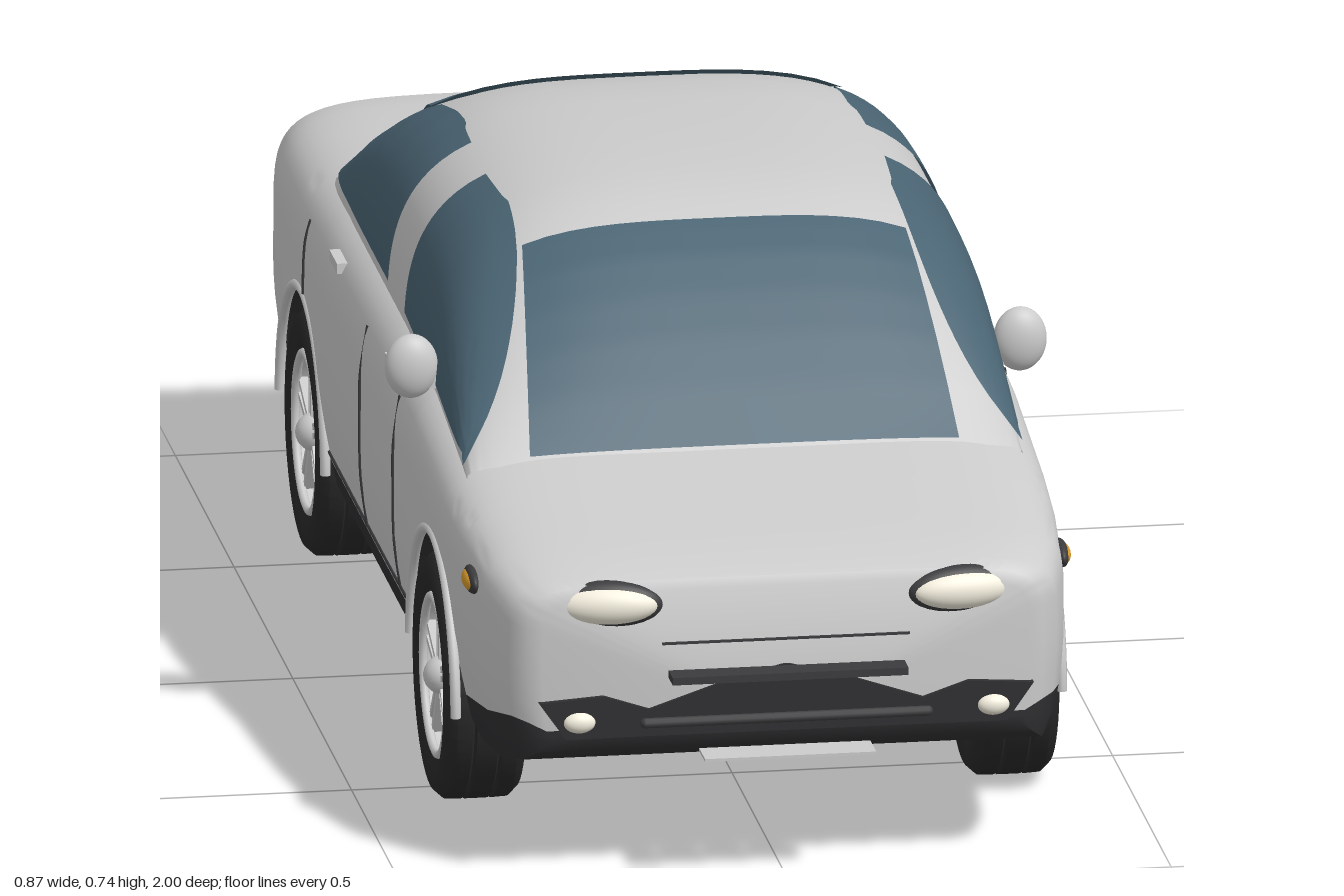
import * as THREE from 'three';
import { toCreasedNormals } from 'three/addons/utils/BufferGeometryUtils.js';

const mat = (color) => new THREE.MeshStandardMaterial({ color, side: THREE.DoubleSide });
const paint = mat(0xcccccc), trim = mat(0x303032), glass = mat(0x4a6473), rubber = mat(0x29292a);
const red = mat(0xa81c2a), amber = mat(0xdc9c2c), lens = mat(0xf5f0e0), under = mat(0x5a5a5c), dark = mat(0x3c3c3e);

const ARCHES = [0.535, -0.555], AXLE_Y = 0.163, ARCH_R = 0.19, MID = 0.3;

// Body stations: z, half width, top, bottom, height of the dark lower trim
const BODY = [
  [0.957, 0.32, 0.395, 0.195, 0.21], [0.95, 0.34, 0.407, 0.18, 0.22], [0.93, 0.36, 0.416, 0.165, 0.225],
  [0.85, 0.382, 0.432, 0.145, 0.21], [0.7, 0.396, 0.458, 0.13, 0.19], [0.6, 0.4, 0.475, 0.125, 0.185],
  [0.35, 0.405, 0.512, 0.118, 0.183], [0.1, 0.406, 0.528, 0.115, 0.183], [-0.4, 0.406, 0.528, 0.115, 0.183],
  [-0.6, 0.404, 0.52, 0.12, 0.183], [-0.8, 0.398, 0.515, 0.14, 0.19], [-0.9, 0.387, 0.508, 0.16, 0.215],
  [-0.94, 0.375, 0.495, 0.175, 0.225], [-0.96, 0.358, 0.475, 0.19, 0.23], [-0.967, 0.335, 0.45, 0.205, 0.235]];
// Cabin roofline: z, top
const ROOF = [[0.61, 0.47], [0.55, 0.538], [0.5, 0.588], [0.45, 0.632], [0.4, 0.67], [0.35, 0.7], [0.3, 0.719],
  [0.25, 0.729], [0.2, 0.734], [0.1, 0.737], [-0.1, 0.735], [-0.2, 0.726], [-0.3, 0.705], [-0.38, 0.676],
  [-0.45, 0.64], [-0.55, 0.572], [-0.62, 0.515]];

// Linear lookup in a table sorted by falling z
function sample(table, z, col) {
  for (let i = 1; i < table.length; i++) {
    const a = table[i - 1], b = table[i];
    if (z >= b[0] || i === table.length - 1) {
      const t = THREE.MathUtils.clamp((a[0] - z) / (a[0] - b[0]), 0, 1);
      return a[col] + (b[col] - a[col]) * t;
    }
  }
}

// Skin through equal-length rings of [x, y, z]
function loft(rings, crease = 0.6) {
  const n = rings[0].length, idx = [];
  for (let i = 0; i < rings.length - 1; i++)
    for (let j = 0; j < n - 1; j++) {
      const a = i * n + j, c = a + n;
      idx.push(a, c, a + 1, a + 1, c, c + 1);
    }
  const g = new THREE.BufferGeometry();
  g.setAttribute('position', new THREE.Float32BufferAttribute(rings.flat(2), 3));
  g.setIndex(idx);
  return toCreasedNormals(g, crease);
}

// Body cross-section helpers, with wheel arches cut into the lower edge
const archY = (z) => Math.max(sample(BODY, z, 3), ...ARCHES.map((c) =>
  Math.abs(z - c) <= ARCH_R ? AXLE_Y + Math.sqrt(ARCH_R ** 2 - (z - c) ** 2) : 0));
const trimY = (z) => Math.max(sample(BODY, z, 4), archY(z));
function sideX(z, y) {
  const w = sample(BODY, z, 1), f = (y - MID) / (sample(BODY, z, 2) - MID);
  return y < MID ? w * (1 - 0.05 * ((MID - y) / 0.15) ** 2) : w * Math.max(0, 1 - f ** 6) ** (1 / 6);
}
const mirrorRing = (half) => [...half, ...half.slice(0, -1).reverse().map(([x, y, z]) => [-x, y, z])];

function upperRing(z) {
  const yd = trimY(z), top = sample(BODY, z, 2), w = sample(BODY, z, 1), half = [];
  for (const t of [0, 0.35, 0.7]) {
    const y = Math.max(yd, yd + (MID - yd) * t);
    half.push([sideX(z, y), y, z]);
  }
  for (let i = 0; i <= 16; i++) {
    const a = (i / 16) * Math.PI / 2;
    const y = Math.max(yd, MID + (top - MID) * Math.sin(a) ** (1 / 3));
    half.push([i === 16 ? 0 : w * Math.cos(a) ** (1 / 3), y, z]);
  }
  return mirrorRing(half);
}
function lowerRing(z) {
  const f = sample(BODY, z, 3), yb = archY(z), yd = trimY(z), xi = Math.min(0.27, sample(BODY, z, 1) * 0.8);
  const half = [[sideX(z, yd), yd, z], [sideX(z, (yb + yd) / 2), (yb + yd) / 2, z],
    [sideX(z, yb) * 0.985, yb, z], [xi, yb, z], [xi, f, z], [0, f, z]];
  return mirrorRing(half).reverse();
}
function bodyRings(ringAt) {
  const zs = BODY.map((s) => s[0]);
  for (let z = -0.9; z < 0.9; z += 0.05) zs.push(z);
  for (const c of ARCHES) {
    zs.push(c - ARCH_R - 0.001, c + ARCH_R + 0.001);
    for (let i = 0; i <= 24; i++) zs.push(c + ARCH_R * 0.99999 * Math.cos(i * Math.PI / 24));
  }
  zs.sort((a, b) => b - a);
  const rings = zs.map(ringAt);
  const cap = (ring, z, dz) => ring.map(() => [0, trimY(z), z + dz]);
  return [cap(rings[0], 0.957, 0.004), ...rings, cap(rings[0], -0.967, -0.003)];
}

// Cabin: superellipse sections over a constant base
const CW = 0.365, CB = 0.45, CN = 3.3;
const roofY = (z) => sample(ROOF, z, 1);
const cabinY = (x, z) => CB + (roofY(z) - CB) * (1 - Math.abs(x / CW) ** CN) ** (1 / CN);
const cabinX = (y, z) => CW * Math.max(0, 1 - ((y - CB) / (roofY(z) - CB)) ** CN) ** (1 / CN);
function cabinRing(z) {
  const half = [];
  for (let i = 0; i <= 20; i++) {
    const a = (i / 20) * Math.PI / 2;
    half.push([i === 20 ? 0 : CW * Math.cos(a) ** (2 / CN), CB + (roofY(z) - CB) * Math.sin(a) ** (2 / CN), z]);
  }
  return mirrorRing(half);
}
// Glass sheet lying just over the cabin; point(u, v) with u along the car
function sheet(point, nu = 24, nv = 16) {
  return loft(Array.from({ length: nu + 1 }, (_, i) =>
    Array.from({ length: nv + 1 }, (_, j) => point(i / nu, j / nv))), 1);
}

export function createModel() {
  const car = new THREE.Group();
  car.name = 'car';
  const add = (name, geo, m, pos = [0, 0, 0], parent = car) => {
    const mesh = new THREE.Mesh(geo, m);
    mesh.name = name;
    mesh.position.set(...pos);
    parent.add(mesh);
    return mesh;
  };
  const box = (name, m, size, pos, parent) => add(name, new THREE.BoxGeometry(...size), m, pos, parent);
  const blob = (name, m, radii, pos) => add(name, new THREE.SphereGeometry(1, 32, 20).scale(...radii), m, pos);
  const bar = (name, m, len, r, pos) => add(name, new THREE.CapsuleGeometry(r, len - 2 * r, 6, 10).rotateZ(Math.PI / 2), m, pos);

  // Shell
  add('bodyShell', loft(bodyRings(upperRing)), paint);
  add('lowerTrim', loft(bodyRings(lowerRing)), trim);
  box('floorPanel', under, [0.5, 0.012, 1.4], [0, 0.117, -0.03]);
  add('cabin', loft(ROOF.map((r) => cabinRing(r[0])), 1), paint);

  // Windows
  const lerp = THREE.MathUtils.lerp;
  const screen = (z0, z1, w0, w1) => sheet((u, v) => {
    const z = lerp(z0, z1, u), x = lerp(w0, w1, u) * (1 - 2 * v);
    return [x, cabinY(x, z) + 0.006, z];
  });
  add('windshield', screen(0.607, 0.345, 0.282, 0.252), glass);
  add('rearWindow', screen(-0.31, -0.6, 0.27, 0.25), glass);
  for (const [name, z0, z1] of [['frontSideWindow', 0.59, 0.1], ['rearSideWindow', -0.04, -0.56]])
    for (const s of [1, -1])
      add(name, sheet((u, v) => {
        const z = lerp(z0, z1, u), bottom = Math.min(sample(BODY, z, 2) - 0.005, roofY(z) - 0.03);
        const top = Math.max(bottom + 0.002, Math.min(0.706, roofY(z) - 0.026));
        const y = lerp(bottom, top, s > 0 ? v : 1 - v);
        return [s * (cabinX(y, z) + 0.005), y, z];
      }), glass);
  bar('highBrakeLight', red, 0.22, 0.007, [0, cabinY(0, -0.465) + 0.01, -0.465]);

  // Bumper inserts
  const insert = (name, pts, z) => {
    const outline = [...pts, ...pts.map(([x, y]) => [-x, y]).reverse()].map((p) => new THREE.Vector2(...p));
    add(name, new THREE.ExtrudeGeometry(new THREE.Shape(outline), { depth: 0.02, bevelEnabled: false }), trim, [0, 0, z]);
  };
  insert('frontBumperInsert', [[0.29, 0.2], [0.325, 0.25], [0.24, 0.256], [0.18, 0.236], [0.08, 0.27], [0.005, 0.289]], 0.945);
  insert('rearBumperInsert', [[0.32, 0.21], [0.33, 0.255], [0.2, 0.27], [0.11, 0.325]], -0.973);

  // Nose and tail details
  bar('grilleBar', dark, 0.385, 0.007, [0, 0.218, 0.966]);
  box('hoodSeam', dark, [0.325, 0.003, 0.01], [0, 0.323, 0.957]);
  box('upperFrontBlade', dark, [0.31, 0.01, 0.035], [0, 0.283, 0.9825]);
  box('lowerFrontBlade', paint, [0.225, 0.004, 0.05], [0, 0.174, 0.975]);
  bar('trunkLight', red, 0.2, 0.006, [0, 0.4, -0.97]);
  box('upperRearBlade', paint, [0.23, 0.005, 0.035], [0, 0.34, -0.9825]);

  for (const s of [1, -1]) {
    // Lights
    blob('headlightRim', dark, [0.074, 0.032, 0.022], [s * 0.234, 0.376, 0.945]).rotation.y = s * 0.15;
    blob('headlight', lens, [0.067, 0.026, 0.024], [s * 0.234, 0.376, 0.95]).rotation.y = s * 0.15;
    blob('fogLight', lens, [0.021, 0.014, 0.012], [s * 0.272, 0.222, 0.964]);
    blob('sideIndicatorRim', dark, [0.01, 0.017, 0.036], [s * sideX(0.79, 0.37), 0.37, 0.79]);
    blob('sideIndicator', amber, [0.013, 0.014, 0.032], [s * sideX(0.79, 0.37), 0.37, 0.79]);
    blob('tailLightRim', dark, [0.06, 0.042, 0.014], [s * 0.3, 0.425, -0.963]);
    blob('tailLight', red, [0.053, 0.037, 0.018], [s * 0.3, 0.425, -0.965]);
    blob('rearIndicator', amber, [0.022, 0.014, 0.012], [s * 0.3, 0.338, -0.966]);
    blob('reverseLight', lens, [0.016, 0.01, 0.012], [s * 0.3, 0.37, -0.966]);

    // Mirrors, handles and door seams
    blob('mirror', paint, [0.035, 0.043, 0.023], [s * 0.4, 0.53, 0.36]);
    box('mirrorArm', paint, [0.05, 0.02, 0.015], [s * 0.365, 0.51, 0.36]);
    for (const z of [0.165, -0.295]) box('doorHandle', paint, [0.016, 0.014, 0.065], [s * sideX(z, 0.47), 0.473, z]);
    const seam = (pts) => add('doorSeam', new THREE.TubeGeometry(new THREE.CatmullRomCurve3(
      pts.map(([z, y]) => new THREE.Vector3(s * sideX(z, y), y, z))), 16, 0.003, 5), dark);
    for (const [z, y0, y1] of [[0.245, 0.195, 0.455], [-0.035, 0.195, 0.465], [-0.525, 0.36, 0.46]])
      seam([0, 0.25, 0.5, 0.75, 1].map((t) => [z, lerp(y0, y1, t)]));
    seam([[0.3, 0.195], [0, 0.195], [-0.36, 0.195]]);

    for (const zc of ARCHES) {
      // Arch lip
      add('archLip', new THREE.TorusGeometry(ARCH_R + 0.003, 0.007, 8, 36, Math.PI).rotateY(Math.PI / 2),
        paint, [s * (sideX(zc, 0.3) - 0.003), AXLE_Y, zc]);

      // Wheel, built with its axle along y and the outside at +y
      const wheel = new THREE.Group();
      wheel.name = 'wheel';
      wheel.position.set(s * 0.35, AXLE_Y, zc);
      wheel.rotation.z = -s * Math.PI / 2;
      car.add(wheel);
      const tire = [[0.107, -0.045], [0.13, -0.055], [0.15, -0.052], [0.161, -0.04], [0.162, -0.02], [0.157, -0.017],
        [0.162, -0.014], [0.162, 0.014], [0.157, 0.017], [0.162, 0.02], [0.161, 0.04], [0.15, 0.052], [0.13, 0.055],
        [0.107, 0.045], [0.107, -0.045]].map((p) => new THREE.Vector2(...p));
      add('tire', toCreasedNormals(new THREE.LatheGeometry(tire, 48), 0.7), rubber, [0, 0, 0], wheel);
      add('rimBarrel', new THREE.CylinderGeometry(0.106, 0.106, 0.09, 40, 1, true), paint, [0, 0, 0], wheel);
      add('rimLip', new THREE.TorusGeometry(0.104, 0.006, 8, 40).rotateX(Math.PI / 2), paint, [0, 0.045, 0], wheel);
      add('brakeDisc', new THREE.CylinderGeometry(0.085, 0.085, 0.01, 32), paint, [0, 0.005, 0], wheel);
      add('wheelBack', new THREE.CylinderGeometry(0.105, 0.105, 0.006, 32), under, [0, -0.02, 0], wheel);
      add('hub', new THREE.SphereGeometry(0.026, 20, 14), paint, [0, 0.035, 0], wheel);
      for (let i = 0; i < 5; i++) {
        const spoke = new THREE.Group();
        spoke.name = 'spoke';
        spoke.rotation.y = i * Math.PI * 2 / 5 + (s > 0 ? Math.PI : 0);
        wheel.add(spoke);
        for (const d of [-1, 1])
          box('spokeArm', paint, [0.092, 0.012, 0.008], [0.058, 0.036, d * 0.008], spoke).rotation.y = -d * 0.06;
      }
      box('brakeCaliper', red, [0.04, 0.026, 0.036], [-s * 0.042, 0.014, 0.055], wheel);
    }
  }
  return car;
}
